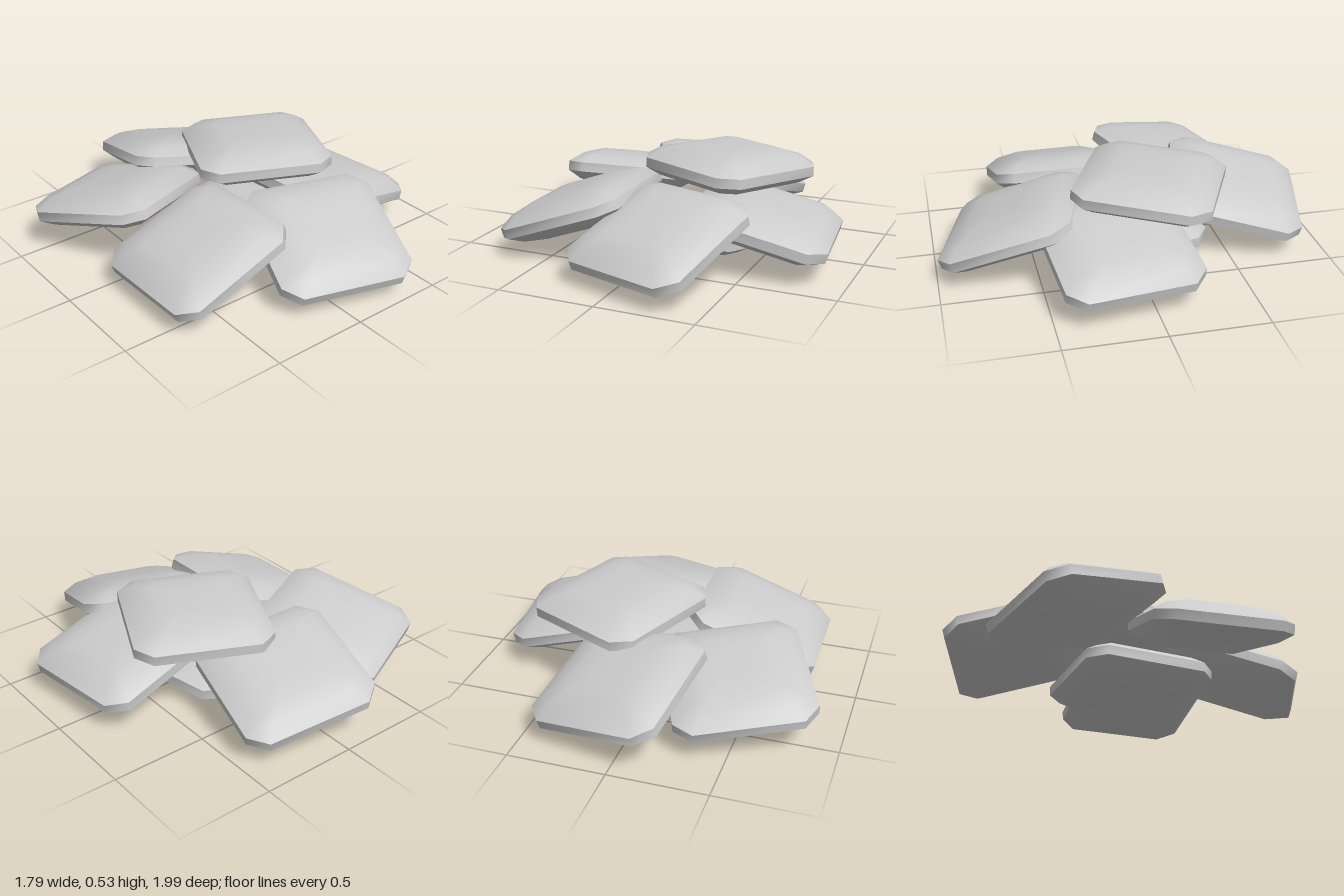
import * as THREE from 'three';
import { toCreasedNormals } from 'three/addons/utils/BufferGeometryUtils.js';

// Cross-section loops from bottom to top: half width, corner cut, height
const RINGS = [
  [0.09, 0.02, -0.105], [0.19, 0.04, -0.1], [0.285, 0.06, -0.068], [0.35, 0.085, -0.025],
  [0.35, 0.085, 0.025], [0.285, 0.06, 0.072], [0.19, 0.04, 0.1], [0.09, 0.02, 0.105],
];

// Plump square cushion with cut corners and a narrow rim
function cushionGeometry() {
  const pos = [], index = [], n = 8;
  for (const [h, cut, y] of RINGS) {
    const k = h - cut;
    const outline = [[h, -k], [h, k], [k, h], [-k, h], [-h, k], [-h, -k], [-k, -h], [k, -h]];
    for (const [x, z] of outline) pos.push(x, y, z);
  }
  const last = (RINGS.length - 1) * n;
  const bottom = pos.length / 3, top = bottom + 1;
  pos.push(0, -0.105, 0, 0, 0.105, 0);
  for (let i = 0; i < n; i++) {
    const j = (i + 1) % n;
    for (let r = 0; r < last; r += n) {
      index.push(r + i, r + n + i, r + j, r + j, r + n + i, r + n + j);
    }
    index.push(bottom, i, j, top, last + j, last + i);
  }
  const geo = new THREE.BufferGeometry();
  geo.setAttribute('position', new THREE.Float32BufferAttribute(pos, 3));
  geo.setIndex(index);
  return toCreasedNormals(geo, 0.9);
}

// Centre, turn in degrees, rise along the cushion's own x and z
const CUSHIONS = [
  ['bottomCushion', [0.07, 0.105, 0], 11, 0, 0],
  ['backRightCushion', [-0.46, 0.24, -0.38], 23, -0.09, 0.24],
  ['backCushion', [0.07, 0.25, -0.6], -13, -0.16, 0.28],
  ['frontRightCushion', [-0.43, 0.225, 0.29], 1, 0.36, 0],
  ['frontCushion', [0.14, 0.225, 0.59], -17, 0, -0.36],
  ['leftCushion', [0.53, 0.22, 0.13], 7, -0.24, 0],
  ['topCushion', [0.24, 0.415, -0.1], -25, 0, 0.06],
];

export function createModel() {
  const model = new THREE.Group();
  model.name = 'cushionPile';
  const fabric = new THREE.MeshStandardMaterial({ color: 0xcccccc });
  fabric.name = 'greyFabric';
  const geo = cushionGeometry();

  for (const [name, centre, turn, riseX, riseZ] of CUSHIONS) {
    const a = THREE.MathUtils.degToRad(turn);
    const x = new THREE.Vector3(Math.cos(a), riseX, -Math.sin(a)).normalize();
    const z = new THREE.Vector3(Math.sin(a), riseZ, Math.cos(a));
    const y = z.clone().cross(x).normalize();
    z.crossVectors(x, y);
    const cushion = new THREE.Mesh(geo, fabric);
    cushion.name = name;
    cushion.quaternion.setFromRotationMatrix(new THREE.Matrix4().makeBasis(x, y, z));
    cushion.position.set(...centre);
    model.add(cushion);
  }
  return model;
}
